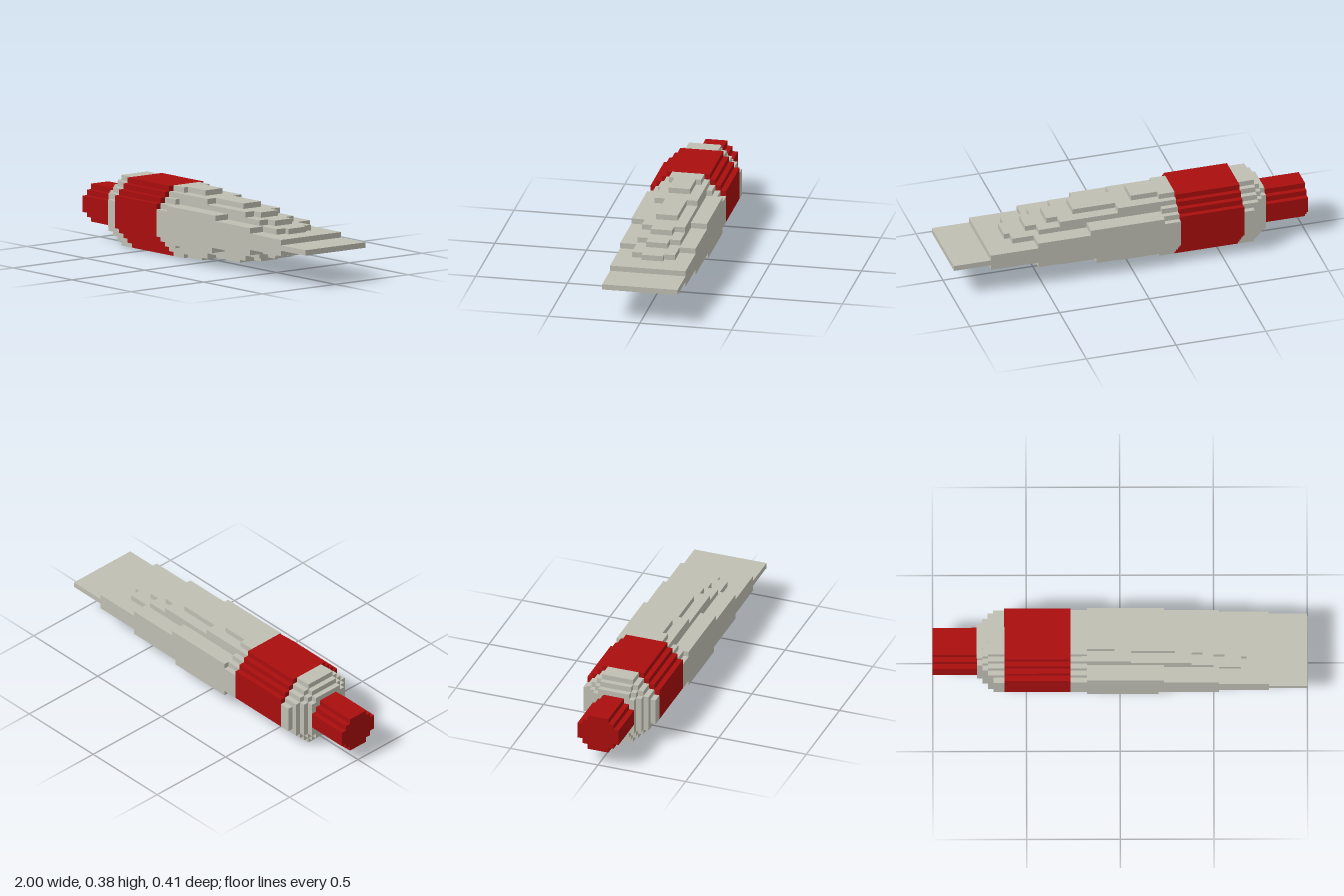
import * as THREE from 'three';

const U = 1 / 34; // one block

export function createModel() {
  const group = new THREE.Group();
  const grey = new THREE.MeshStandardMaterial({ color: 0xbfbeb3 });
  grey.name = 'warm grey';
  const red = new THREE.MeshStandardMaterial({ color: 0xa90e0e });
  red.name = 'deep red';

  const add = (name, geometry, material) => {
    const mesh = new THREE.Mesh(geometry.scale(U, U, U), material);
    mesh.name = name;
    group.add(mesh);
  };

  // mirrored shape from one side's outline points [across, along]
  const mirrored = (side) => new THREE.Shape([
    ...side.map(([a, b]) => new THREE.Vector2(a, b)),
    ...side.slice().reverse().map(([a, b]) => new THREE.Vector2(-a, b)),
  ]);

  // stepped cross-section running along x; halves = half width of each row, from row y0 up
  const section = (name, y0, halves, x0, x1, material) => {
    const side = [];
    halves.forEach((h, i) => {
      if (h !== halves[i - 1]) side.push([h, y0 + i]);
      if (h !== halves[i + 1]) side.push([h, y0 + i + 1]);
    });
    const geo = new THREE.ExtrudeGeometry(mirrored(side), { depth: x1 - x0, bevelEnabled: false });
    add(name, geo.rotateY(Math.PI / 2).translate(x0, 0, 0), material);
  };

  // horizontal blade layer with stepped end; steps = [half width, end x]
  const layer = (name, y0, y1, steps) => {
    const side = [];
    let x = -6;
    for (const [h, end] of steps) {
      side.push([h, x], [h, end]);
      x = end;
    }
    const geo = new THREE.ExtrudeGeometry(mirrored(side), { depth: y1 - y0, bevelEnabled: false });
    // shape (across, along) -> (z, x), depth -> y
    geo.rotateX(-Math.PI / 2).rotateY(-Math.PI / 2).translate(0, y0, 0);
    add(name, geo, grey);
  };

  // rear nozzle and round body
  section('nozzle', 3, [2, 3, 4, 4, 4, 3, 2], -34, -26, red);
  section('rearRingInner', 2, [3, 4, 4, 4, 4, 4, 4, 4, 3], -26, -25, grey);
  section('rearRingMiddle', 1, [3, 4, 5, 5, 5, 5, 5, 5, 5, 4, 3], -25, -24, grey);
  section('rearRingOuter', 0, [3, 4, 5, 6, 6, 6, 6, 6, 6, 6, 5, 4, 3], -24, -23, grey);
  const body = [3, 4, 5, 6, 7, 7, 7, 7, 7, 6, 5, 4, 3];
  section('rearBody', 0, body, -23, -21, grey);
  section('redBand', 0, [3, 4, 5, 6, 7, 7, 7, 7, 7, 7, 6, 5, 4], -21, -9, red);
  section('frontBody', 0, body, -9, -6, grey);

  // flattening blade, from the bottom layer up
  layer('bladeBottom', 0, 1, [[2, -2]]);
  layer('bladeLower1', 1, 2, [[4, 2], [2, 9]]);
  layer('bladeLower2', 2, 3, [[4, 13], [2, 15]]);
  layer('bladeLower3', 3, 4, [[7, 7], [4, 17], [2, 19]]);
  layer('bladeLower4', 4, 5, [[7, 18], [4, 22], [2, 23]]);
  layer('bladeCoreLower', 5, 6, [[7, 27]]);
  layer('bladeTip', 6, 7, [[7, 34]]);
  layer('bladeCoreUpper', 7, 8, [[7, 27]]);
  layer('bladeUpper4', 8, 9, [[7, 18], [4, 22], [2, 23]]);
  layer('bladeUpper3', 9, 10, [[7, 8], [4, 17], [2, 19]]);
  layer('bladeUpper2', 10, 11, [[4, 13], [2, 15]]);
  layer('bladeUpper1', 11, 12, [[4, 2], [2, 10]]);
  layer('bladeTop', 12, 13, [[2, -1]]);

  return group;
}
